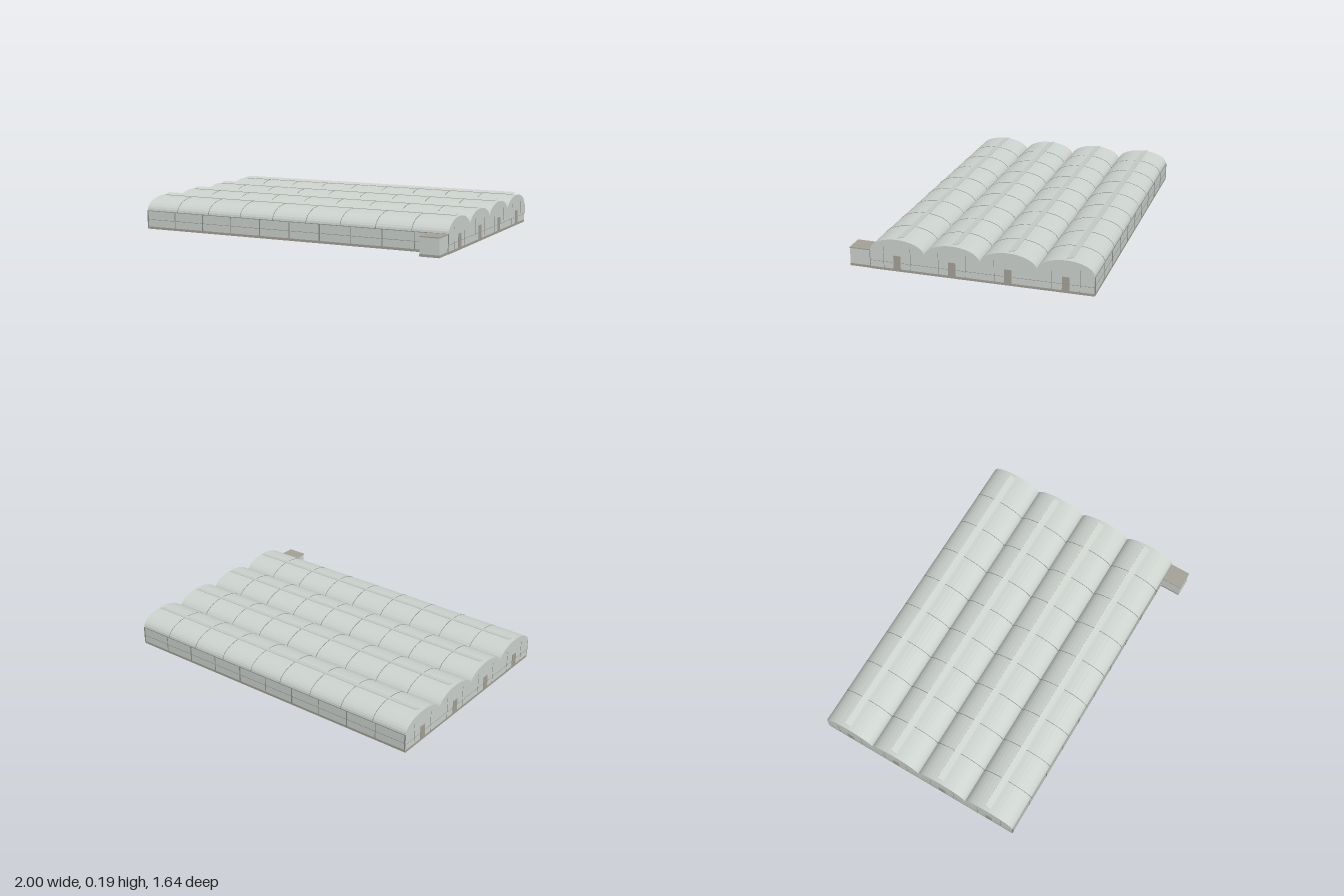
import * as THREE from 'three';

const L = 1.805, W = 1.19, BAYS = 4, BAY = W / BAYS;
const BASE = 0.013, EAVE = 0.102, RIDGE = 0.174;

export function createModel() {
  const mat = (name, color) => Object.assign(new THREE.MeshStandardMaterial({ color }), { name });
  const glazing = mat('paleGlazing', 0xcbd1cc);
  const concrete = mat('warmConcrete', 0xa3a096);
  const metal = mat('greyMetal', 0x8b908c);

  const building = new THREE.Group();
  building.name = 'greenhouse';
  const add = (name, geo, m, x = 0, y = 0, z = 0) => {
    const mesh = new THREE.Mesh(geo, m);
    mesh.name = name;
    mesh.position.set(x, y, z);
    building.add(mesh);
    return mesh;
  };
  const box = (name, m, w, h, d, x, y, z) => add(name, new THREE.BoxGeometry(w, h, d), m, x, y, z);
  const bayCentre = i => -W / 2 + BAY * (i + 0.5);

  // Elliptical arch over one bay, from -z to +z
  const arch = (c, grow = 0, n = 18) => Array.from({ length: n + 1 }, (_, i) => {
    const a = Math.PI * (1 - i / n);
    return new THREE.Vector2(c + Math.cos(a) * (BAY / 2 + grow), EAVE + Math.sin(a) * (RIDGE - EAVE + grow));
  });
  // Extrude a profile lengthwise, centred on x = 0
  const lengthwise = (pts, len) => new THREE.ExtrudeGeometry(new THREE.Shape(pts), { depth: len, bevelEnabled: false })
    .translate(0, 0, -len / 2).rotateY(Math.PI / 2);

  // Plinth and four-bay glazed body
  box('plinth', concrete, L, BASE, W, 0, BASE / 2, 0);
  const outline = [new THREE.Vector2(-W / 2, BASE)];
  for (let i = 0; i < BAYS; i++) outline.push(...arch(bayCentre(i)).slice(i ? 1 : 0));
  outline.push(new THREE.Vector2(W / 2, BASE));
  add('glazedBody', lengthwise(outline, L - 0.002), glazing);

  // Roof hoops, ridge vents and doors, bay by bay
  const hoop = lengthwise([...arch(0, 0.0012), ...arch(0, -0.003).reverse()], 0.003);
  for (let i = 0; i < BAYS; i++) {
    const z = bayCentre(i);
    for (let k = 1; k < 9; k++) add('roofHoop', hoop, metal, -L / 2 + k * L / 9, 0, z);
    const vent = box('ridgeVent', glazing, 1.76, 0.004, 0.036, 0, 0.1795, z - 0.016);
    vent.rotation.x = 0.26;
    for (const s of [-1, 1]) {
      box('door', concrete, 0.004, 0.073, 0.038, s * L / 2, BASE + 0.0365, z);
      for (const t of [-1, 1])
        box('endMullion', metal, 0.002, 0.13 - BASE, 0.002, s * (L / 2 - 0.001), (0.13 + BASE) / 2, z + t * 0.073);
    }
  }

  // Side wall posts, rails and eave trims
  for (const s of [-1, 1]) {
    for (let k = 0; k <= 10; k++) {
      const w = k % 2 ? 0.003 : 0.006;
      box('wallPost', metal, w, EAVE - BASE, 0.005, (k / 5 - 1) * (L / 2 - 0.004), (EAVE + BASE) / 2, s * W / 2);
    }
    box('sideRail', metal, L - 0.004, 0.002, 0.003, 0, 0.053, s * W / 2);
    box('eaveTrim', metal, L, 0.003, 0.004, 0, EAVE, s * W / 2);
    box('endRail', metal, 0.002, 0.0015, W, s * (L / 2 - 0.001), 0.047, 0);
  }

  // Entrance lobby at the front corner
  box('lobbyPlinth', concrete, 0.107, BASE, 0.115, 0.845, BASE / 2, 0.652);
  box('lobbyWalls', glazing, 0.105, 0.085, 0.113, 0.845, BASE + 0.0425, 0.652);
  box('lobbyRoof', concrete, 0.107, 0.005, 0.115, 0.845, 0.1, 0.652);

  // The building stands at an angle on its site
  building.rotation.y = -0.198;
  building.position.z = -0.06;
  const model = new THREE.Group();
  model.name = 'greenhouseModel';
  model.add(building);
  return model;
}
